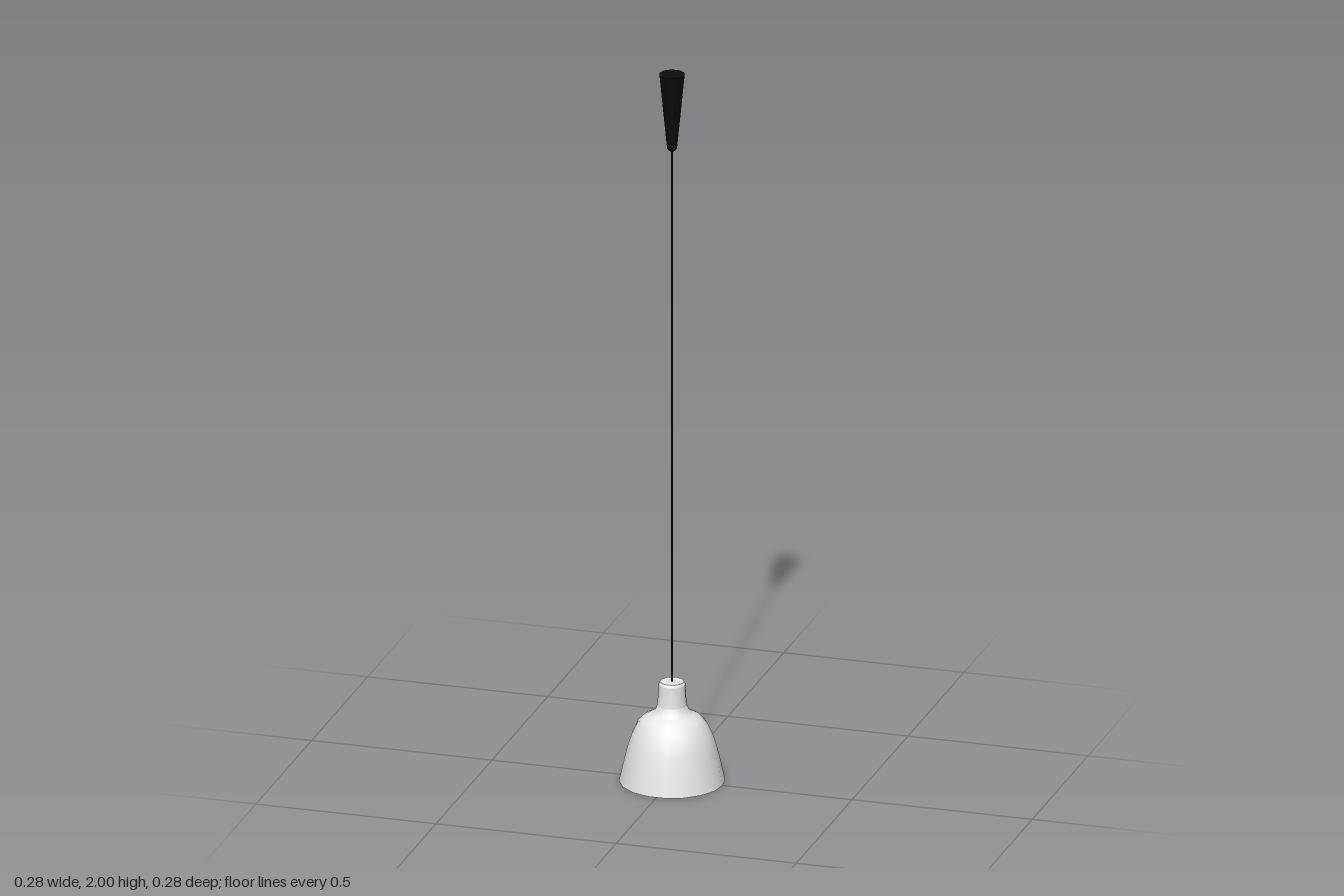
import * as THREE from 'three';

const white = new THREE.MeshStandardMaterial({ color: 0xe6e6e6 });
white.name = 'white enamel';
const black = new THREE.MeshStandardMaterial({ color: 0x0c0c0c });
black.name = 'black plastic';

// Revolved part; points run so that the surface faces to their right
function lathe(name, points, sides, material) {
  const profile = points.map(([r, y]) => new THREE.Vector2(r, y));
  const mesh = new THREE.Mesh(new THREE.LatheGeometry(profile, sides, Math.PI / 2), material);
  mesh.name = name;
  return mesh;
}

export function createModel() {
  const lamp = new THREE.Group();
  lamp.name = 'pendantLamp';

  // Shade: bell, neck and closed top, split where the edges are sharp
  const shade = new THREE.Group();
  shade.name = 'shade';
  const parts = {
    bell: [[0.141, 0], [0.13, 0.05], [0.118, 0.1], [0.108, 0.13], [0.094, 0.16], [0.078, 0.178], [0.055, 0.191]],
    collar: [[0.055, 0.191], [0.045, 0.2], [0.04, 0.214]],
    neck: [[0.04, 0.214], [0.037, 0.24], [0.036, 0.272]],
    neckBevel: [[0.036, 0.272], [0.032, 0.28]],
    neckTop: [[0.032, 0.28], [0, 0.28]],
    rim: [[0.129, 0], [0.141, 0]],
    innerWall: [[0.125, 0.022], [0.129, 0]],
    diffuser: [[0, 0.022], [0.125, 0.022]],
  };
  for (const [name, points] of Object.entries(parts)) shade.add(lathe(name, points, 18, white));
  lamp.add(shade);

  // Cable from the neck up to the ceiling cup
  const cable = new THREE.Mesh(new THREE.CylinderGeometry(0.003, 0.003, 1.52, 8), black);
  cable.name = 'cable';
  cable.position.y = 1.035;
  lamp.add(cable);

  // Tapered ceiling cup with a rounded lower tip
  const cup = new THREE.Group();
  cup.name = 'ceilingCup';
  cup.add(
    lathe('cupTip', [[0, 1.783], [0.009, 1.784], [0.014, 1.792]], 10, black),
    lathe('cupBody', [[0.014, 1.792], [0.035, 2]], 10, black),
    lathe('cupTop', [[0.035, 2], [0, 2]], 10, black),
  );
  lamp.add(cup);

  return lamp;
}
